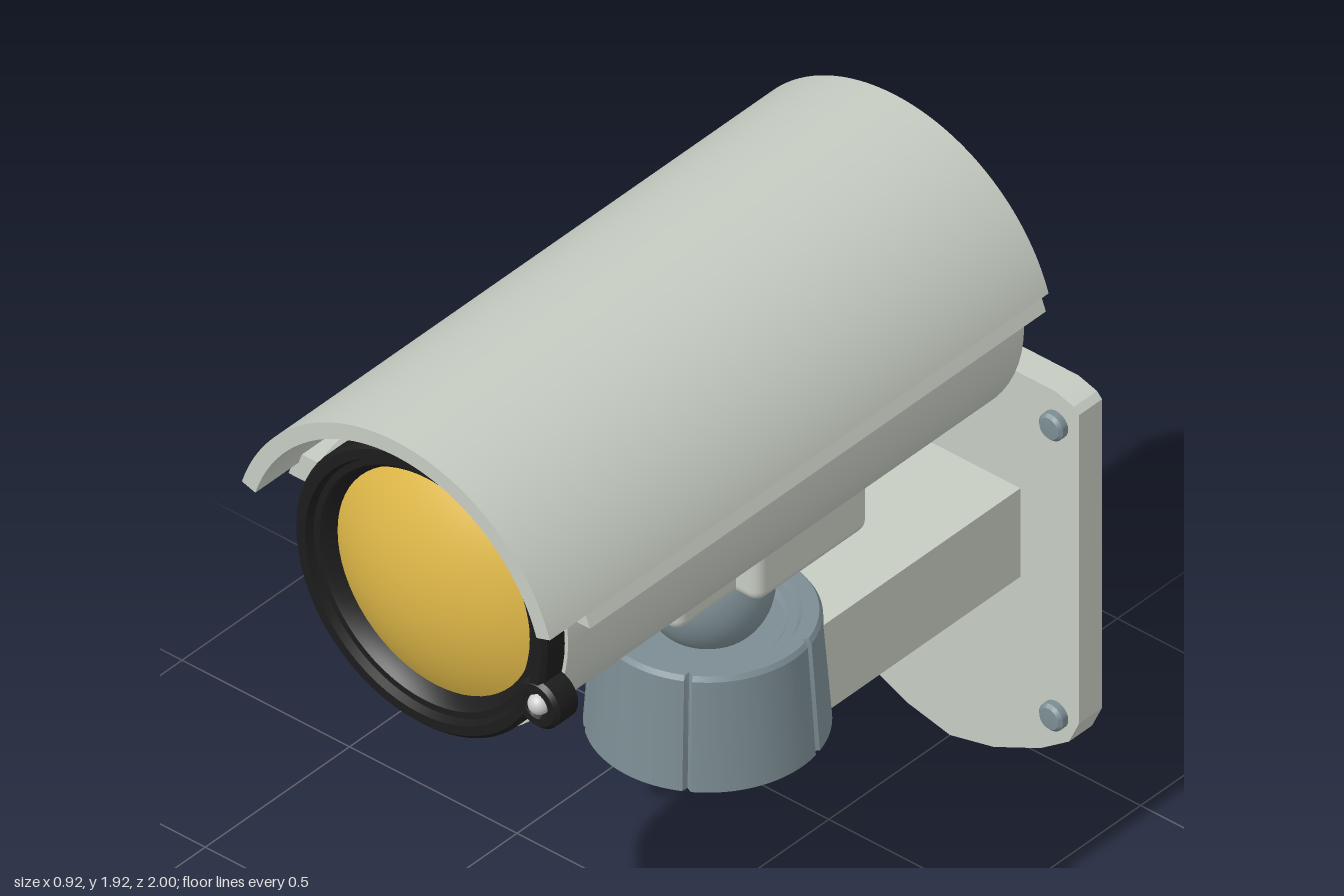
import * as THREE from 'three';
import { toCreasedNormals } from 'three/addons/utils/BufferGeometryUtils.js';
import { RoundedBoxGeometry } from 'three/addons/geometries/RoundedBoxGeometry.js';

const material = (color) => new THREE.MeshStandardMaterial({ color });
const V = (x, y) => new THREE.Vector2(x, y);
const rad = THREE.MathUtils.degToRad;

export function createModel() {
  const model = new THREE.Group();
  model.name = 'securityCamera';
  const shell = material(0xc6ccc2);
  const steel = material(0x7c8d93);
  const black = material(0x1c1c1c);
  const amber = material(0xdfb848);
  const bulb = material(0xc0c0c0);

  const add = (name, geometry, mat, x = 0, y = 0, z = 0) => {
    const mesh = new THREE.Mesh(geometry, mat);
    mesh.name = name;
    mesh.position.set(x, y, z);
    model.add(mesh);
    return mesh;
  };
  // Extrude a front-facing shape from z0 to z1
  const slab = (name, shape, z0, z1, mat, y = 0) => {
    const g = new THREE.ExtrudeGeometry(shape, { depth: z1 - z0, bevelEnabled: false, curveSegments: 48 });
    return add(name, toCreasedNormals(g, rad(20)), mat, 0, y, z0);
  };
  // Lathe turned so its axis points to +z
  const turned = (name, pts, mat, x, y, z, segments = 64) => {
    const g = new THREE.LatheGeometry(pts, segments).rotateX(Math.PI / 2);
    return add(name, toCreasedNormals(g, rad(30)), mat, x, y, z);
  };

  // Camera housing
  const axisY = 1.45;
  turned('housing', [V(0, -0.73), V(0.385, -0.73), V(0.385, 0.85), V(0, 0.85)], shell, 0, axisY, 0);

  // Sun hood: open arc with radial ends
  const hood = new THREE.Shape();
  const a = rad(17.5);
  hood.absarc(0, 0, 0.482, a, Math.PI - a, false);
  hood.absarc(0, 0, 0.44, Math.PI - a, a, true);
  hood.closePath();
  slab('sunHood', hood, -0.728, 1, shell, 1.437);

  // Rails joining the hood to the housing
  for (const s of [1, -1]) {
    const rail = new THREE.Shape([V(0.45 * s, 1.525), V(0.422 * s, 1.597), V(0.345 * s, 1.597), V(0.36 * s, 1.525)]);
    slab(s > 0 ? 'leftHoodRail' : 'rightHoodRail', rail, -0.73, 0.85, shell);
  }

  // Front bezel with stepped inner lip
  turned('bezel', [
    V(0.37, 0.845), V(0.375, 0.85), V(0.375, 0.91), V(0.365, 0.92), V(0.34, 0.92),
    V(0.332, 0.9), V(0.315, 0.9), V(0.305, 0.89), V(0.29, 0.855),
  ], black, 0, axisY - 0.003, 0);

  // Domed lens
  const domePoints = [];
  for (let i = 0; i <= 12; i++) {
    const r = 0.3 * (1 - i / 12);
    domePoints.push(V(r, 0.945 - 0.56 + Math.sqrt(0.56 * 0.56 - r * r)));
  }
  turned('lens', domePoints, amber, 0, axisY - 0.003, 0);

  // Sensor on the bezel edge
  turned('sensorSocket', [V(0, 0.85), V(0.065, 0.85), V(0.065, 0.912), V(0.055, 0.922), V(0.036, 0.922), V(0.03, 0.91), V(0, 0.91)],
    black, 0.35, 1.3, 0, 32);
  add('sensorBulb', new THREE.SphereGeometry(0.027, 20, 14), bulb, 0.353, 1.303, 0.913);

  // Mounting saddle under the housing
  add('saddleFront', new RoundedBoxGeometry(0.29, 0.18, 0.3, 3, 0.03), shell, 0, 1.07, 0.04);
  add('saddleBack', new RoundedBoxGeometry(0.42, 0.22, 0.39, 3, 0.03), shell, 0, 1.09, -0.205);

  // Ball joint
  const jointZ = -0.08;
  add('jointBall', new THREE.SphereGeometry(0.155, 40, 24), steel, 0, 0.91, jointZ);

  // Tapered cup with five vertical grooves
  const profile = [
    V(0, 0.525), V(0.282, 0.525), V(0.261, 0.82), V(0.253, 0.832),
    V(0.215, 0.832), V(0.205, 0.815), V(0.185, 0.815), V(0.175, 0.803), V(0, 0.803),
  ];
  const cup = new THREE.LatheGeometry(profile, 180, rad(31));
  const p = cup.attributes.position;
  for (let i = 0; i <= 180; i += 36) {
    for (const j of [1, 2, 3]) {
      const k = i * profile.length + j;
      p.setXYZ(k, p.getX(k) * 0.95, p.getY(k), p.getZ(k) * 0.95);
    }
  }
  add('jointCup', toCreasedNormals(cup, rad(25)), steel, 0, 0, jointZ);

  // Arm from the cup to the wall
  add('wallArm', new THREE.BoxGeometry(0.42, 0.25, 0.72), shell, 0, 0.675, -0.56);

  // Wall plate
  const half = [[0.13, 0.03], [0.27, 0.095], [0.355, 0.155], [0.385, 0.22], [0.385, 1.092], [0.37, 1.108], [0.315, 1.125]];
  const outline = [V(0, 0), ...half.map(([x, y]) => V(x, y)), ...half.slice().reverse().map(([x, y]) => V(-x, y))];
  slab('wallPlate', new THREE.Shape(outline), -1, -0.92, shell);

  // Plate screws
  for (const x of [-0.317, 0.317]) {
    for (const y of [0.215, 1.035]) {
      turned('plateScrew', [V(0.036, -0.93), V(0.036, -0.902), V(0.028, -0.894), V(0, -0.892)], steel, x, y, 0, 24);
    }
  }
  return model;
}
